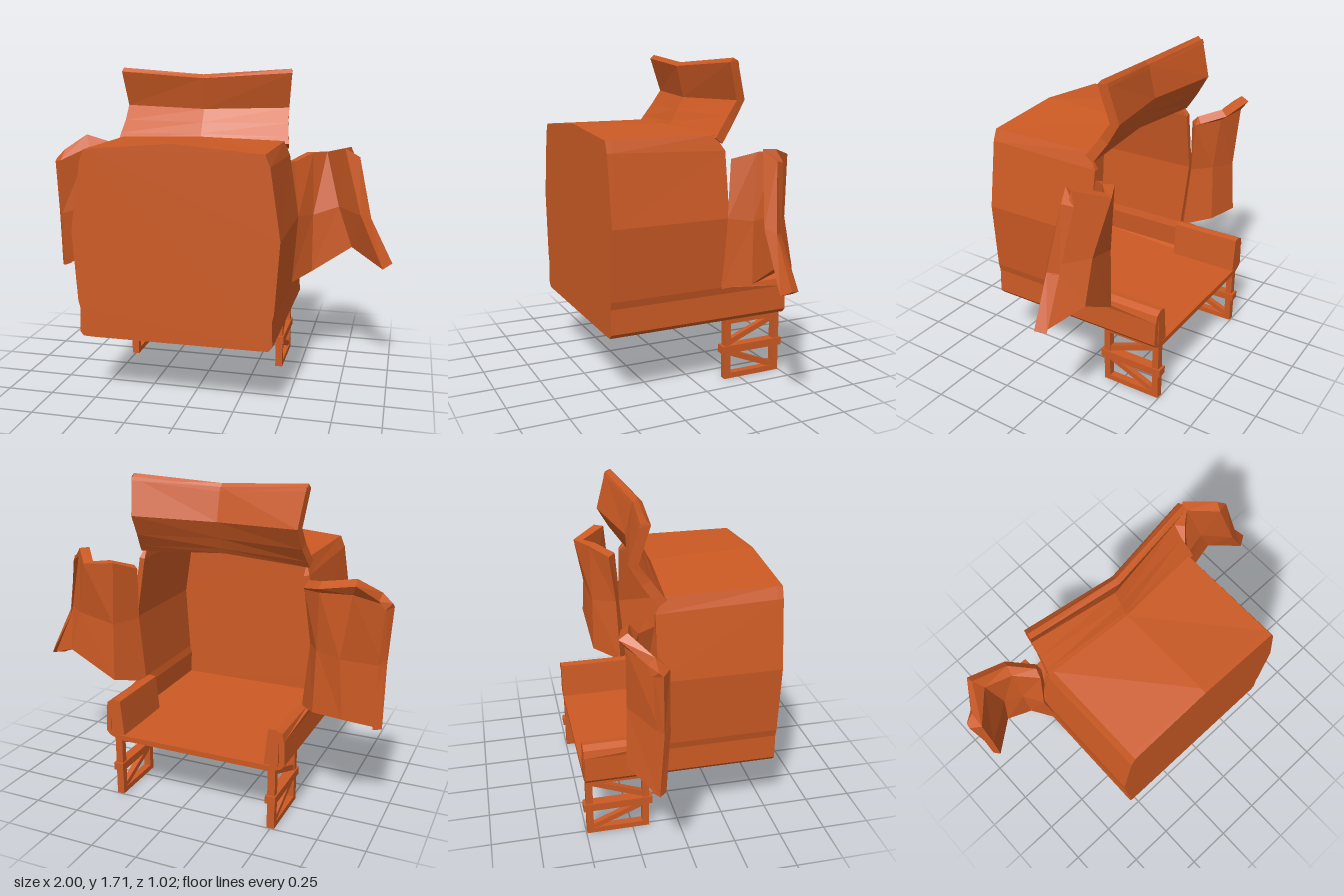
import * as THREE from 'three';

const CX = -0.06; // the casing sits slightly off centre
const V = (p) => new THREE.Vector3(...p);

// Thick bent sheet: a grid of points (rows of columns) gives its outer side
function sheet(grid, t) {
  const rows = grid.length, cols = grid[0].length;
  const front = grid.map((r) => r.map(V));
  const back = front.map((r, j) => r.map((p, i) => {
    const du = front[j][Math.min(i + 1, cols - 1)].clone().sub(front[j][Math.max(i - 1, 0)]);
    const dv = front[Math.min(j + 1, rows - 1)][i].clone().sub(front[Math.max(j - 1, 0)][i]);
    return p.clone().addScaledVector(du.cross(dv).normalize(), -t);
  }));
  const pos = [];
  const quad = (a, b, c, d) => [a, b, c, a, c, d].forEach((p) => pos.push(p.x, p.y, p.z));
  for (let j = 0; j < rows - 1; j++) {
    for (let i = 0; i < cols - 1; i++) {
      quad(front[j][i], front[j][i + 1], front[j + 1][i + 1], front[j + 1][i]);
      quad(back[j][i], back[j + 1][i], back[j + 1][i + 1], back[j][i + 1]);
    }
    const e = cols - 1;
    quad(front[j][0], front[j + 1][0], back[j + 1][0], back[j][0]);
    quad(front[j + 1][e], front[j][e], back[j][e], back[j + 1][e]);
  }
  for (let i = 0; i < cols - 1; i++) {
    const e = rows - 1;
    quad(front[0][i + 1], front[0][i], back[0][i], back[0][i + 1]);
    quad(front[e][i], front[e][i + 1], back[e][i + 1], back[e][i]);
  }
  const g = new THREE.BufferGeometry();
  g.setAttribute('position', new THREE.Float32BufferAttribute(pos, 3));
  g.computeVertexNormals();
  return g;
}

// Straight prism along z from a list of x, y points
function prism(points, depth) {
  const shape = new THREE.Shape(points.map(([x, y]) => new THREE.Vector2(CX + x, y)));
  return new THREE.ExtrudeGeometry(shape, { depth, bevelEnabled: false });
}

export function createModel() {
  const group = new THREE.Group();
  const mat = new THREE.MeshStandardMaterial({ color: 0xcc5a24, flatShading: true, side: THREE.DoubleSide });
  const add = (name, geo, parent = group) => {
    const m = new THREE.Mesh(geo, mat);
    m.name = name;
    parent.add(m);
    return m;
  };

  // Half outline of the casing: x from centre, y, z of the rear edge, y at the rear
  const half = [
    [0, 0.345, -0.5, 0.325], [0.43, 0.345, -0.5, 0.325], [0.49, 0.347, -0.5, 0.347],
    [0.51, 0.37, -0.5, 0.37], [0.505, 0.5, -0.5, 0.5], [0.515, 0.54, -0.1, 0.54],
    [0.54, 0.91, -0.13, 0.91], [0.485, 1.27, -0.13, 1.25], [0.46, 1.33, -0.08, 1.33],
    [0, 1.37, -0.05, 1.345],
  ];
  const loop = [...half, ...half.slice(0, -1).reverse().map(([x, ...r]) => [-x, ...r])];

  // Casing walls and floor, open at the rear
  add('casingWalls', sheet(loop.map(([x, y, z, yr]) => [[CX + x, y, 0.48], [CX + x, yr, z]]), 0.03));

  // Closed front panel
  add('frontPanel', prism(loop.slice(0, -1), 0.03)).position.z = 0.48;

  // Rounded rails along the sides of the rear floor
  const rail = [[0.475, 0.36], [0.475, 0.5], [0.505, 0.5], [0.495, 0.54], [0.46, 0.558], [0.42, 0.553], [0.4, 0.36]];
  for (const s of [1, -1]) {
    add(s > 0 ? 'leftFloorRail' : 'rightFloorRail', prism(rail.map(([x, y]) => [s * x, y]), 0.4)).position.z = -0.503;
  }

  // Top flap bent upwards, bowed forward in the middle
  const top = [
    [0.485, 1.315, -0.075, 1.335, -0.045], [0.48, 1.35, -0.1, 1.36, -0.06],
    [0.468, 1.42, -0.15, 1.42, -0.09], [0.465, 1.5, -0.205, 1.49, -0.13],
    [0.485, 1.69, -0.15, 1.66, -0.09], [0.48, 1.712, -0.17, 1.68, -0.115],
  ];
  add('topFlap', sheet(top.map(([x, y, z, yc, zc]) =>
    [[CX - x, y, z], [CX, yc, zc], [CX + x, y, z]]), 0.05));

  // Side flaps bent outwards, each with its own crumple and a rounded tip
  add('rightFlap', sheet([
    [[-0.56, 1.24, -0.18], [-0.66, 1.27, -0.28], [-0.84, 1.31, -0.32], [-0.94, 1.23, -0.22], [-0.99, 1.18, -0.215]],
    [[-0.57, 1.2, -0.14], [-0.67, 1.22, -0.24], [-0.81, 1.24, -0.28], [-0.945, 1.17, -0.155], [-0.995, 1.16, -0.195]],
    [[-0.61, 0.9, -0.12], [-0.67, 0.91, -0.22], [-0.76, 0.9, -0.27], [-0.945, 0.85, -0.15], [-0.975, 0.86, -0.185]],
    [[-0.57, 0.54, -0.1], [-0.66, 0.575, -0.23], [-0.79, 0.59, -0.28], [-0.95, 0.525, -0.17], [-0.975, 0.52, -0.205]],
  ], 0.05));
  add('leftFlap', sheet([
    [[0.45, 0.53, -0.1], [0.55, 0.57, -0.23], [0.77, 0.72, -0.25], [0.95, 0.63, -0.14], [1.0, 0.66, -0.17]],
    [[0.48, 0.91, -0.12], [0.55, 0.9, -0.23], [0.69, 0.95, -0.25], [0.82, 0.93, -0.125], [0.875, 0.91, -0.16]],
    [[0.45, 1.21, -0.15], [0.54, 1.25, -0.25], [0.61, 1.25, -0.31], [0.72, 1.29, -0.17], [0.8, 1.24, -0.2]],
  ], 0.06));

  // Braced leg frames below the rear floor
  for (const s of [1, -1]) {
    const leg = new THREE.Group();
    leg.name = s > 0 ? 'leftLeg' : 'rightLeg';
    leg.position.x = CX + s * 0.44;
    group.add(leg);
    const bar = (name, w, z0, y0, z1, y1, t) => {
      const m = add(name, new THREE.BoxGeometry(w, t, Math.hypot(z1 - z0, y1 - y0)), leg);
      m.position.set(0, (y0 + y1) / 2, (z0 + z1) / 2);
      m.rotation.x = -Math.atan2(y1 - y0, z1 - z0);
    };
    bar('frontPost', 0.04, -0.178, 0, -0.178, 0.345, 0.036);
    bar('rearPost', 0.04, -0.478, 0, -0.478, 0.345, 0.036);
    bar('footBar', 0.04, -0.16, 0.015, -0.496, 0.015, 0.03);
    bar('topBar', 0.04, -0.16, 0.328, -0.496, 0.328, 0.034);
    bar('middleBar', 0.055, -0.143, 0.167, -0.51, 0.167, 0.042);
    bar('upperBrace', 0.03, -0.18, 0.2, -0.47, 0.315, 0.03);
    bar('lowerBrace', 0.03, -0.18, 0.15, -0.47, 0.03, 0.03);
  }
  return group;
}
